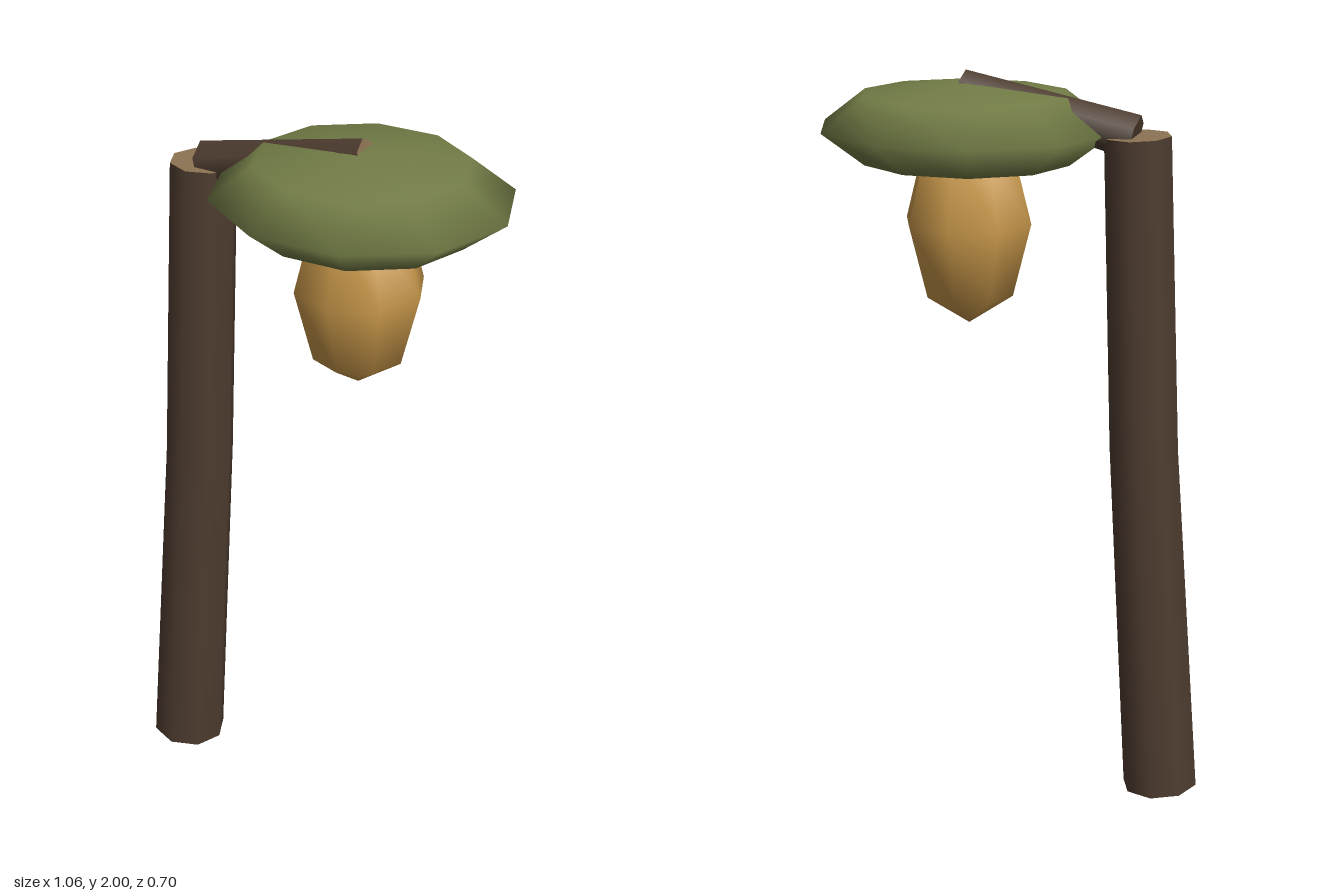
import * as THREE from 'three';

const paint = (name, color) => {
  const m = new THREE.MeshStandardMaterial({ color });
  m.name = name;
  return m;
};

// Tapered limb: a cylinder whose rows follow a path of [x, y, z, radius] stops.
// Groups: bark sides, cut wood at the far end, bark at the near end.
function limb(name, stops, sides, thetaStart, bark, wood) {
  const rows = stops.length - 1;
  const geo = new THREE.CylinderGeometry(1, 1, 1, sides, rows, false, thetaStart);
  const centres = stops.map(([x, y, z]) => new THREE.Vector3(x, y, z));
  const up = new THREE.Vector3(0, 1, 0);
  const turns = centres.map((c, i) => {
    const ahead = centres[Math.min(i + 1, rows)];
    const behind = centres[Math.max(i - 1, 0)];
    return new THREE.Quaternion().setFromUnitVectors(up, ahead.clone().sub(behind).normalize());
  });
  const pos = geo.attributes.position;
  const nor = geo.attributes.normal;
  const v = new THREE.Vector3();
  for (let i = 0; i < pos.count; i++) {
    v.fromBufferAttribute(pos, i);
    const row = Math.round((v.y + 0.5) * rows);
    v.setY(0).multiplyScalar(stops[row][3]).applyQuaternion(turns[row]).add(centres[row]);
    pos.setXYZ(i, v.x, v.y, v.z);
    v.fromBufferAttribute(nor, i).applyQuaternion(turns[row]);
    nor.setXYZ(i, v.x, v.y, v.z);
  }
  const mesh = new THREE.Mesh(geo, [bark, wood, bark]);
  mesh.name = name;
  return mesh;
}

// Low-poly ellipsoid
function blob(name, centre, radii, sides, material) {
  const geo = new THREE.SphereGeometry(1, sides, 4).scale(...radii);
  const mesh = new THREE.Mesh(geo, material);
  mesh.name = name;
  mesh.position.set(...centre);
  return mesh;
}

export function createModel() {
  const bark = paint('bark brown', 0x4f3d30);
  const wood = paint('cut wood tan', 0x8c7353);
  const leaf = paint('leaf green', 0x727c46);
  const gold = paint('lantern gold', 0xc9984a);

  const model = new THREE.Group();
  model.name = 'hangingLantern';
  model.add(
    // Slightly bent post with a pale sawn top
    limb('post', [
      [-0.43, 0.008, 0.03, 0.105],
      [-0.367, 1.0, 0.02, 0.095],
      [-0.34, 1.85, 0, 0.09],
    ], 8, 0, bark, wood),
    // Branch reaching over the canopy
    limb('branch', [
      [-0.335, 1.845, 0, 0.06],
      [0.135, 1.956, 0, 0.045],
    ], 6, Math.PI / 6, bark, wood),
    // Flat leafy cap and the lantern body below it
    blob('canopy', [0.125, 1.85, 0], [0.4, 0.125, 0.37], 10, leaf),
    blob('lantern', [0.12, 1.6, 0], [0.175, 0.28, 0.175], 8, gold),
  );
  return model;
}
